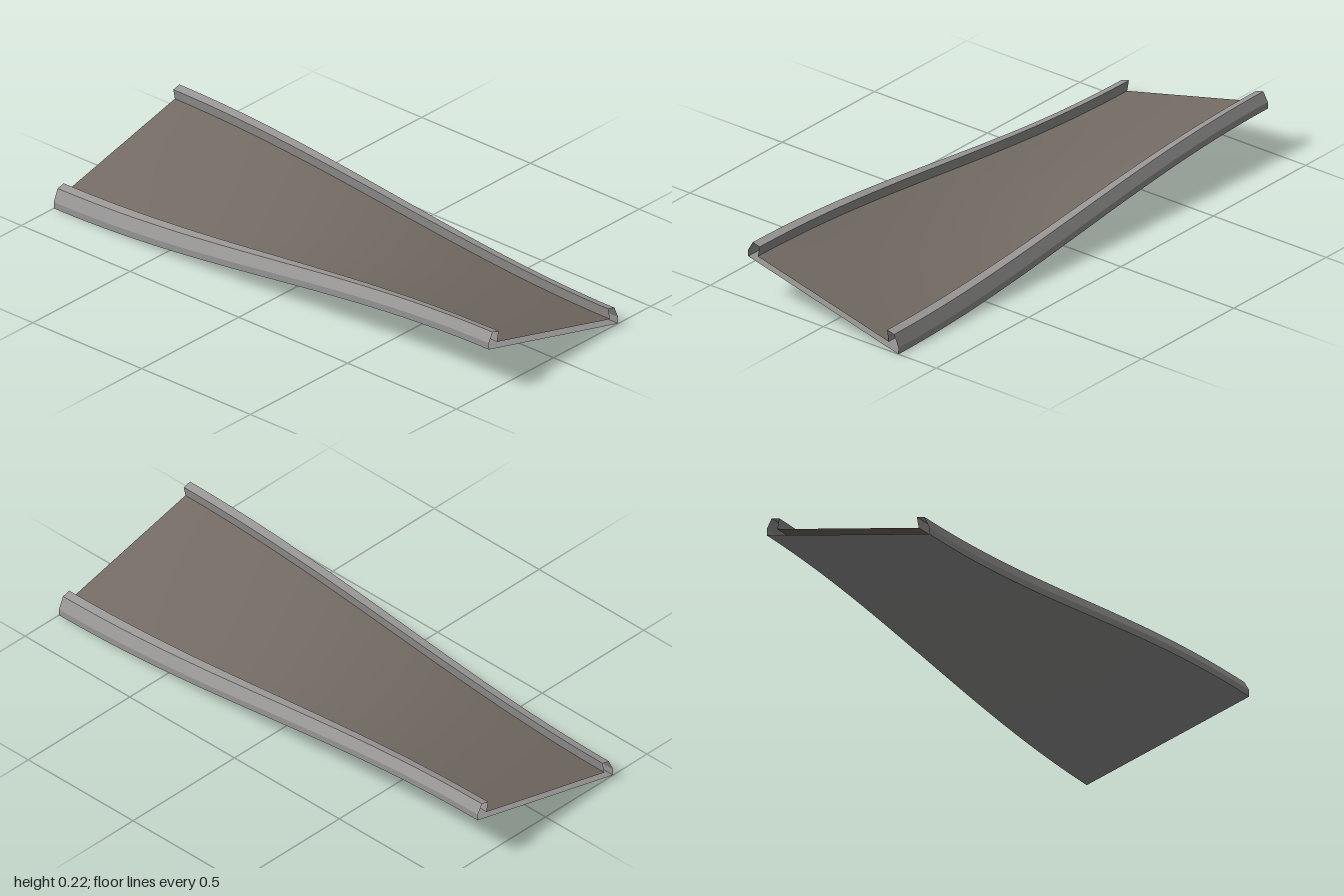
import * as THREE from 'three';
import { mergeGeometries } from 'three/addons/utils/BufferGeometryUtils.js';

const TILT = 0.247;     // cross slope at either end
const HALF_WIDTH = 0.333;
const UNDER = 0.0825;   // underside height on the centre line
const DECK = 0.106;     // deck height on the centre line

// The cross slope eases from one end to the other, tipping the deck the other way.
const slope = (z) => -TILT * Math.sin(z * Math.PI / 2);

// Sweeps one straight profile edge along z, following the changing slope.
function sweepEdge([x0, y0], [x1, y1], across) {
  const geometry = new THREE.PlaneGeometry(1, 2, across, 40);
  const pos = geometry.attributes.position;
  for (let i = 0; i < pos.count; i++) {
    const t = pos.getX(i) + 0.5;
    const z = -pos.getY(i);
    const x = x0 + (x1 - x0) * t;
    pos.setXYZ(i, x, y0 + (y1 - y0) * t + x * slope(z), z);
  }
  geometry.computeVertexNormals();
  return geometry;
}

// Sweeps a profile with sharp corners; points run clockwise seen from the front.
function sweep(name, profile, material, across = 1) {
  const edges = profile.slice(1).map((p, i) => sweepEdge(profile[i], p, across));
  const mesh = new THREE.Mesh(mergeGeometries(edges), material);
  mesh.name = name;
  return mesh;
}

export function createModel() {
  const curbGrey = new THREE.MeshStandardMaterial({ color: 0x999897, side: THREE.DoubleSide });
  curbGrey.name = 'curbGrey';
  const deckBrown = new THREE.MeshStandardMaterial({ color: 0x746c64, side: THREE.DoubleSide });
  deckBrown.name = 'deckBrown';

  const group = new THREE.Group();
  group.name = 'twistedTrack';

  // Curb: upright outer face, chamfer, flat top and undercut inner face
  const curb = [
    [-HALF_WIDTH, UNDER], [-HALF_WIDTH, 0.107], [-0.313, 0.147], [-0.282, 0.147], [-0.29, DECK],
  ];
  const mirrored = curb.map(([x, y]) => [-x, y]).reverse();

  group.add(
    sweep('rightCurb', curb, curbGrey),
    sweep('leftCurb', mirrored, curbGrey),
    // Deck and underside are separate sheets, open at both ends
    sweep('deck', [[-0.29, DECK], [0.29, DECK]], deckBrown, 10),
    sweep('underside', [[HALF_WIDTH, UNDER], [-HALF_WIDTH, UNDER]], curbGrey, 10),
  );
  return group;
}
